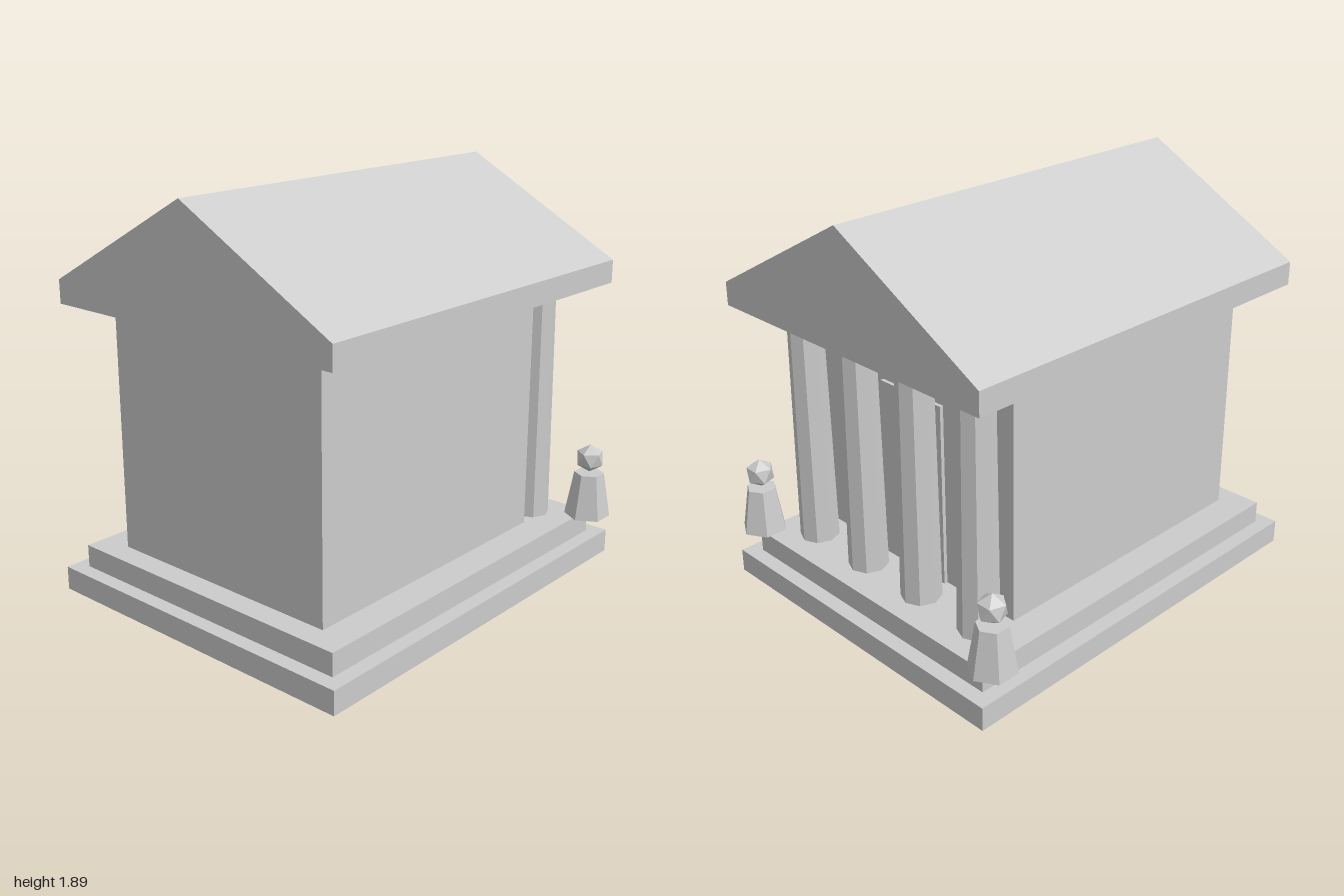
import * as THREE from 'three';

export function createModel() {
  const temple = new THREE.Group();
  temple.name = 'temple';
  const stone = new THREE.MeshStandardMaterial({ color: 0xcccccc, flatShading: true });
  stone.name = 'stone';

  function add(name, geometry, x = 0, y = 0, z = 0, parent = temple) {
    const mesh = new THREE.Mesh(geometry, stone);
    mesh.name = name;
    mesh.position.set(x, y, z);
    parent.add(mesh);
    return mesh;
  }

  // Box given by its lower and upper limits in x and y, and its half depth in z
  function block(name, x0, x1, y0, y1, halfZ) {
    add(name, new THREE.BoxGeometry(x1 - x0, y1 - y0, halfZ * 2), (x0 + x1) / 2, (y0 + y1) / 2, 0);
  }

  // Stepped base, hall and door
  block('lowerStep', -1, 1, 0, 0.11, 0.82);
  block('upperStep', -0.93, 0.93, 0.11, 0.215, 0.75);
  block('hall', -0.82, 0.605, 0.215, 1.35, 0.6);
  block('doorFrame', 0.6, 0.622, 0.215, 1.075, 0.19);
  block('doorPanel', 0.615, 0.632, 0.285, 1.005, 0.053);

  // Gabled roof with a short vertical eave, extruded along x
  const gable = new THREE.Shape([
    [-0.787, 1.35], [0.787, 1.35], [0.787, 1.457], [0, 1.887], [-0.787, 1.457],
  ].map(([z, y]) => new THREE.Vector2(z, y)));
  const roof = new THREE.ExtrudeGeometry(gable, { depth: 1.93, bevelEnabled: false });
  roof.translate(0, 0, -0.965).rotateY(Math.PI / 2);
  add('roof', roof);

  // Row of eight-sided tapered columns with square capitals
  const shaft = new THREE.CylinderGeometry(0.08, 0.091, 1.075, 8);
  const capital = new THREE.BoxGeometry(0.225, 0.06, 0.225);
  for (let i = 0; i < 4; i++) {
    const column = new THREE.Group();
    column.name = 'column';
    column.position.set(0.747, 0, (i - 1.5) * 0.358);
    add('columnShaft', shaft, 0, 0.7525, 0, column);
    add('columnCapital', capital, 0, 1.32, 0, column);
    temple.add(column);
  }

  // Pair of small statues: six-sided plinth with a faceted ball, one point up
  const plinth = new THREE.CylinderGeometry(0.07, 0.107, 0.215, 6).rotateY(Math.PI / 6);
  const ball = new THREE.IcosahedronGeometry(0.0685, 0);
  ball.rotateX(-Math.atan((1 + Math.sqrt(5)) / 2)).rotateY(-Math.PI / 2);
  for (const side of [-1, 1]) {
    const statue = new THREE.Group();
    statue.name = 'statue';
    statue.position.set(0.893, 0, side * 0.77);
    add('statuePlinth', plinth, 0, 0.3225, 0, statue);
    add('statueBall', ball, 0, 0.503, 0, statue);
    temple.add(statue);
  }

  return temple;
}
